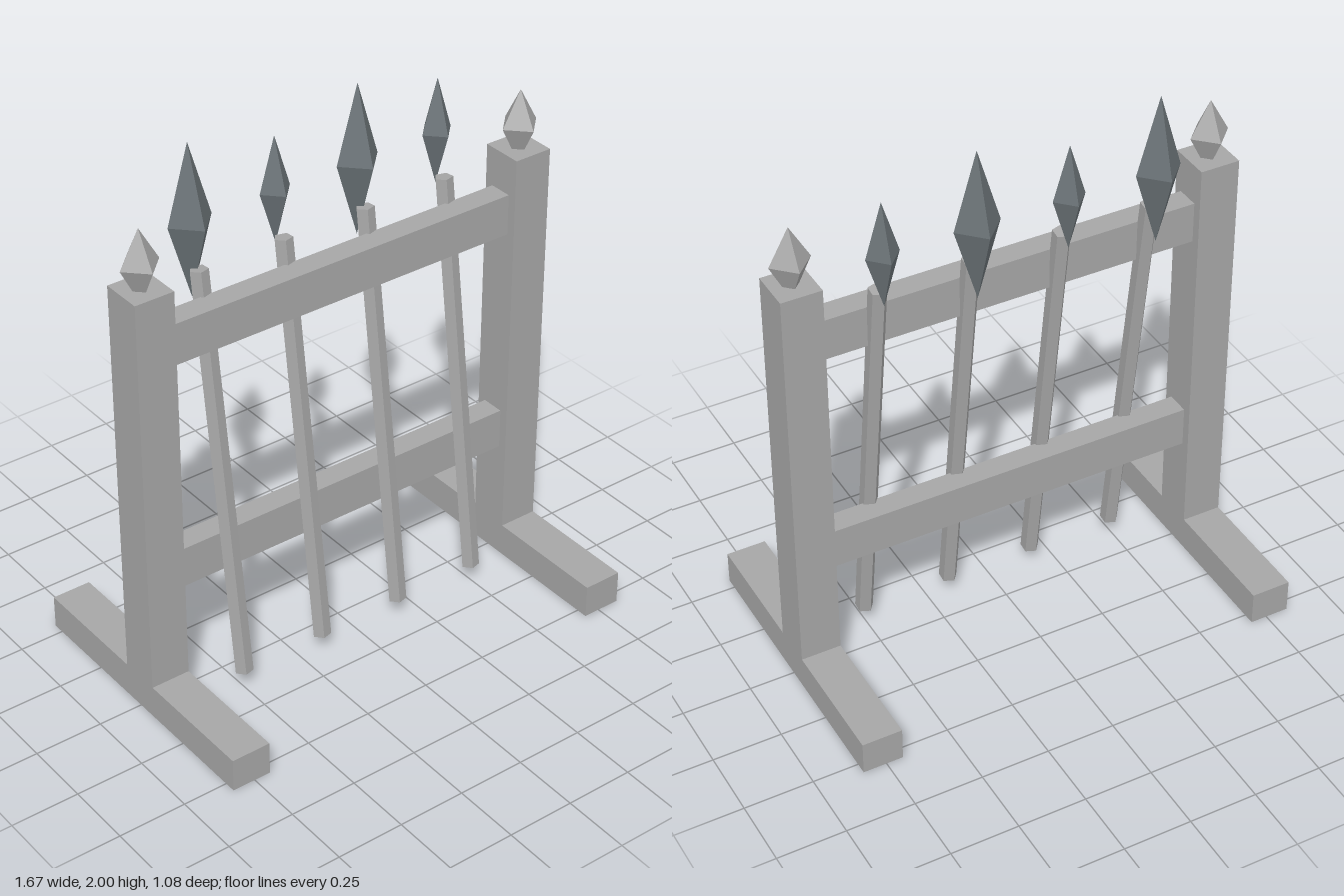
import * as THREE from 'three';

export function createModel() {
  const model = new THREE.Group();
  model.name = 'spearRack';

  const grey = new THREE.MeshStandardMaterial({ color: 0xa6a6a6, flatShading: true });
  grey.name = 'frame grey';
  const steel = new THREE.MeshStandardMaterial({ color: 0x697175, flatShading: true });
  steel.name = 'dark steel';

  const add = (name, geometry, material, x, y, z) => {
    const mesh = new THREE.Mesh(geometry, material);
    mesh.name = name;
    mesh.position.set(x, y, z);
    model.add(mesh);
    return mesh;
  };

  // Four-sided finial profile, bottom to top
  const finialProfile = [[0, 0], [0.03, 0], [0.073, 0.085], [0, 0.215]]
    .map(([r, y]) => new THREE.Vector2(r, y));

  // Uprights with feet and finials
  for (const side of [1, -1]) {
    const x = side * 0.762;
    add('foot', new THREE.BoxGeometry(0.146, 0.125, 1.084), grey, x, 0.0625, 0);
    add('post', new THREE.BoxGeometry(0.146, 1.5, 0.154), grey, x, 0.875, 0);
    add('finial', new THREE.LatheGeometry(finialProfile, 4), grey, x, 1.625, 0);
  }

  // Cross rails
  for (const y of [0.532, 1.405]) {
    add('rail', new THREE.BoxGeometry(1.38, 0.152, 0.086), grey, 0, y, 0);
  }

  // Leaning five-sided shafts, each with an upright spearhead
  const shaft = new THREE.CylinderGeometry(0.033, 0.033, 1.51, 5);
  shaft.rotateY(-0.35);
  shaft.rotateX(-0.133);
  [-0.495, -0.164, 0.168, 0.5].forEach((x, i) => {
    const big = i % 2 === 0;
    add('spearShaft', shaft, grey, x, 0.815, 0.025);
    const head = add('spearHead', new THREE.OctahedronGeometry(1), steel, x, 1.72, -0.117);
    if (big) head.scale.set(0.084, 0.28, 0.086);
    else head.scale.set(0.06, 0.196, 0.062);
  });

  return model;
}
